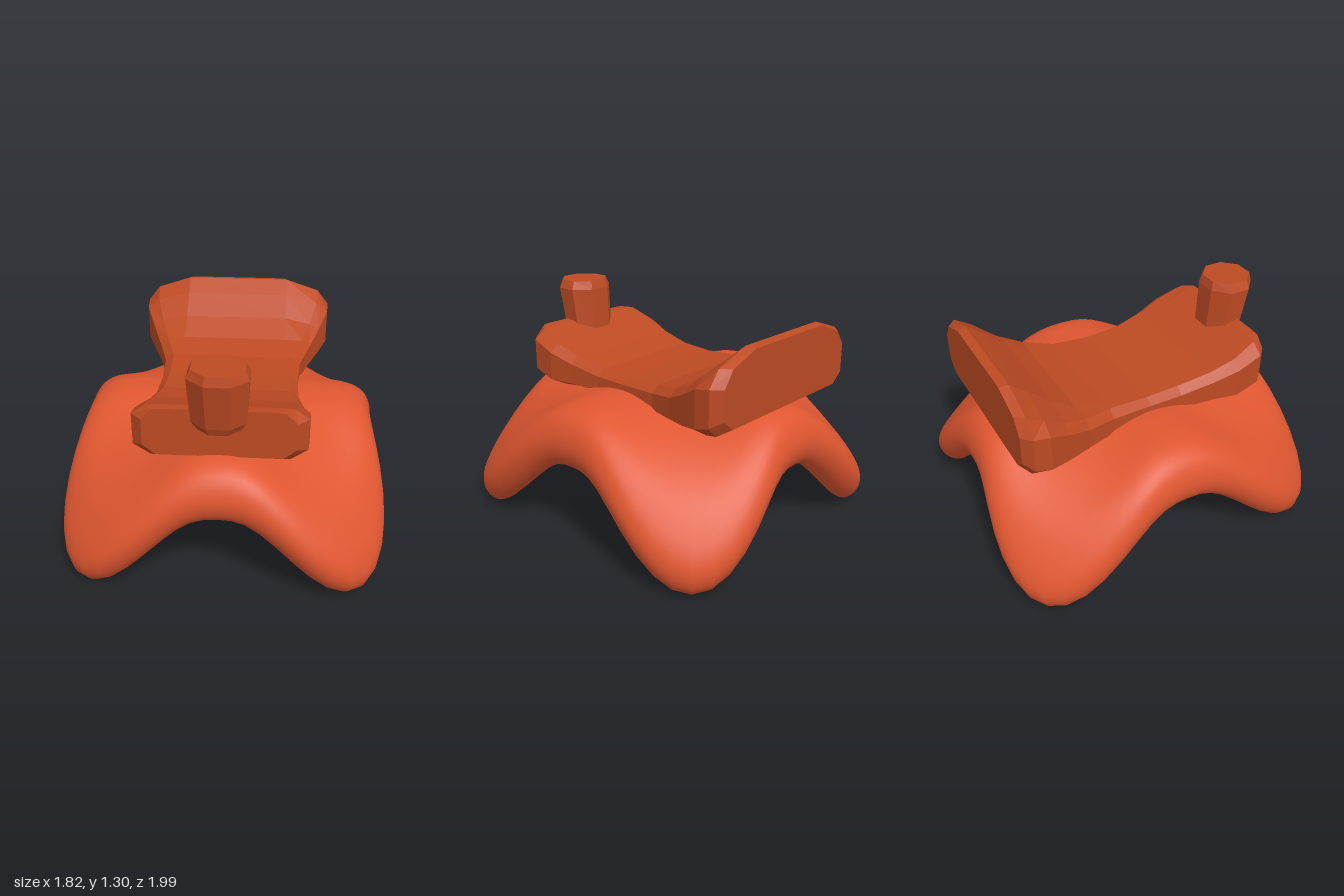
import * as THREE from 'three';
import { mergeVertices } from 'three/addons/utils/BufferGeometryUtils.js';

// Flat-shaded closed solid through matching rings of [x, y, z] points
function loft(rings) {
  const pos = [];
  const n = rings[0].length;
  const tri = (...pts) => pts.forEach((p) => pos.push(...p));
  const centre = (ring) => [0, 1, 2].map((k) => ring.reduce((s, p) => s + p[k], 0) / n);
  const first = rings[0], last = rings[rings.length - 1];
  const c0 = centre(first), c1 = centre(last);
  for (let j = 0; j < n; j++) {
    const k = (j + 1) % n;
    for (let i = 0; i < rings.length - 1; i++) {
      const a = rings[i][j], b = rings[i][k], c = rings[i + 1][k], d = rings[i + 1][j];
      tri(a, d, c);
      tri(a, c, b);
    }
    tri(c0, first[j], first[k]);
    tri(c1, last[k], last[j]);
  }
  const geo = new THREE.BufferGeometry();
  geo.setAttribute('position', new THREE.Float32BufferAttribute(pos, 3));
  geo.computeVertexNormals();
  return geo;
}

// Thick draped pad: a rim-to-centre profile swept round, drooping at four corners
function padGeometry() {
  // [fraction of radius, height], over the top, round the rim and back underneath
  const edge = [[0, 0.8], [0.35, 0.81], [0.6, 0.81], [0.81, 0.795], [0.94, 0.735], [1, 0.62],
    [0.985, 0.52], [0.92, 0.463], [0.83, 0.475], [0.7, 0.52], [0.5, 0.575], [0.25, 0.605], [0, 0.61]];
  const corner = [[0, 0.8], [0.35, 0.78], [0.6, 0.68], [0.81, 0.51], [0.94, 0.32], [1, 0.17],
    [0.99, 0.06], [0.93, 0], [0.85, 0.04], [0.73, 0.2], [0.5, 0.44], [0.25, 0.58], [0, 0.61]];
  const around = 72, along = 48, pos = [], index = [];
  for (let j = 0; j < around; j++) {
    const t = (j / around) * Math.PI * 2;
    const s = Math.sin(2 * t) ** 2;
    const w = s ** 1.4;
    const radius = 0.855 + 0.01 * Math.sin(t) ** 2 + 0.27 * s ** 1.2;
    const profile = new THREE.SplineCurve(edge.map((e, i) =>
      new THREE.Vector2(...e).lerp(new THREE.Vector2(...corner[i]), w)));
    profile.getPoints(along).forEach((p) => {
      pos.push(p.x * radius * Math.cos(t), p.y, -1.085 * p.x * radius * Math.sin(t));
    });
    const a0 = j * (along + 1), b0 = ((j + 1) % around) * (along + 1);
    for (let i = 0; i < along; i++) {
      const a = a0 + i, b = b0 + i;
      if (i < along - 1) index.push(a, a + 1, b + 1);
      if (i > 0) index.push(a, b + 1, b);
    }
  }
  let geo = new THREE.BufferGeometry();
  geo.setAttribute('position', new THREE.Float32BufferAttribute(pos, 3));
  geo.setIndex(index);
  geo = mergeVertices(geo, 1e-5);
  geo.computeVertexNormals();
  return geo;
}

// Seat: front-to-back cross-sections with bevelled upper and lower edges
function seatGeometry() {
  // z, [top half-width, y], [bevel half-width, y], [side half-width, upper y, lower y], [bottom half-width, y]
  const stations = [
    [0.76, [0.3, 1.055], [0.34, 1.05], [0.4, 0.99, 0.84], [0.33, 0.785]],
    [0.7, [0.33, 1.05], [0.385, 1.045], [0.46, 0.99, 0.81], [0.37, 0.75]],
    [0.55, [0.33, 0.985], [0.41, 0.985], [0.47, 0.94, 0.77], [0.36, 0.715]],
    [0.4, [0.33, 0.93], [0.39, 0.93], [0.44, 0.89, 0.77], [0.34, 0.72]],
    [0.2, [0.32, 0.89], [0.365, 0.89], [0.41, 0.85, 0.76], [0.32, 0.73]],
    [0, [0.32, 0.88], [0.36, 0.88], [0.405, 0.845, 0.76], [0.32, 0.73]],
    [-0.24, [0.32, 0.893], [0.37, 0.893], [0.42, 0.855, 0.76], [0.32, 0.73]],
    [-0.42, [0.32, 0.935], [0.43, 0.93], [0.48, 0.89, 0.77], [0.37, 0.72]],
    [-0.56, [0.32, 1.025], [0.48, 0.99], [0.54, 0.955, 0.79], [0.44, 0.735]],
    [-0.69, [0.32, 1.135], [0.52, 1.085], [0.595, 1.03, 0.82], [0.5, 0.76]],
    [-0.785, [0.32, 1.21], [0.53, 1.14], [0.6, 1.05, 0.85], [0.54, 0.79]],
    [-0.835, [0.3, 1.2], [0.48, 1.135], [0.545, 1.045, 0.88], [0.47, 0.82]],
  ];
  return loft(stations.map(([z, top, bevel, side, bottom]) => {
    const half = [bottom, [side[0], side[2]], [side[0], side[1]], bevel, top];
    const left = half.map(([x, y]) => [x, y, z]);
    const right = half.map(([x, y]) => [-x, y, z]).reverse();
    return [...left, ...right];
  }));
}

// Horn: eight-sided post leaning forward and widening upward
function hornGeometry() {
  // y, centre z, half-width, half-depth
  const levels = [[0.945, 0.72, 0.11, 0.1], [0.99, 0.715, 0.143, 0.125],
    [1.25, 0.748, 0.158, 0.143], [1.3, 0.75, 0.135, 0.13]];
  return loft(levels.map(([y, zc, hx, hz]) => Array.from({ length: 8 }, (_, i) => {
    const t = ((i + 0.5) / 8) * Math.PI * 2, k = 1 / Math.cos(Math.PI / 8);
    return [hx * k * Math.cos(t), y, zc + hz * k * Math.sin(t)];
  })));
}

export function createModel() {
  const group = new THREE.Group();
  group.name = 'saddle';
  const padOrange = new THREE.MeshStandardMaterial({ color: 0xdf5630 });
  padOrange.name = 'padOrange';
  const leatherBrown = new THREE.MeshStandardMaterial({ color: 0xbd4a23 });
  leatherBrown.name = 'leatherBrown';

  const add = (name, geometry, material) => {
    const mesh = new THREE.Mesh(geometry, material);
    mesh.name = name;
    group.add(mesh);
  };
  add('saddlePad', padGeometry(), padOrange);
  add('seat', seatGeometry(), leatherBrown);
  add('horn', hornGeometry(), leatherBrown);
  return group;
}
